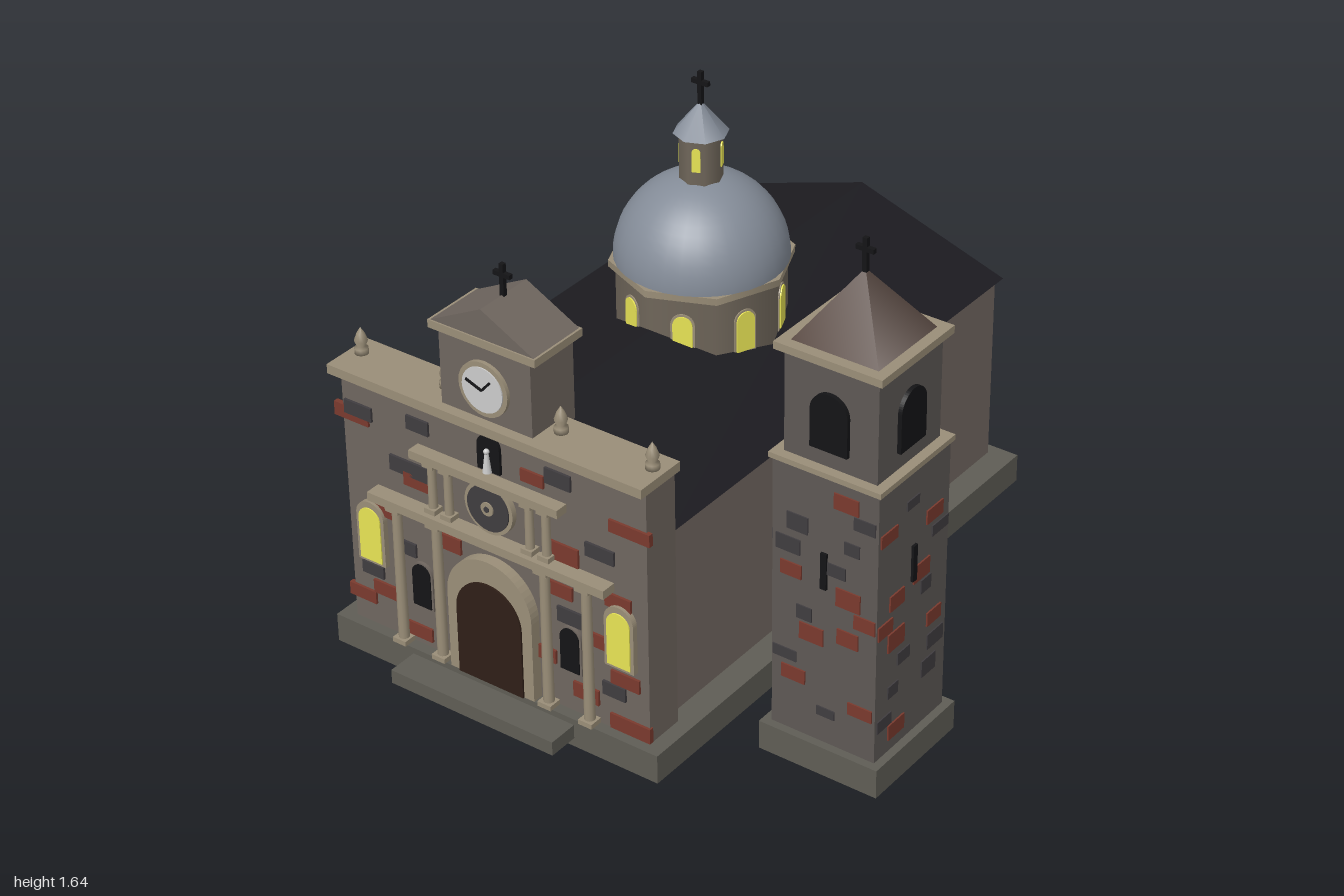
import * as THREE from 'three';

const COLORS = {
  stone: 0x6f665f, nave: 0x756a63, tower: 0x5e5855, trim: 0x9a8e78, plinth: 0x5f5d55,
  slate: 0x1c1b20, lead: 0x848c98, drum: 0x6f665a, tile: 0x5c4c45, black: 0x141416,
  door: 0x2f1f17, glow: 0xe8e455, white: 0xd0d0d0, red: 0x7a3a2e, dark: 0x403d40,
};
const mats = {};
for (const k in COLORS) mats[k] = new THREE.MeshStandardMaterial({ color: COLORS[k] });

function add(parent, name, geo, mat, x = 0, y = 0, z = 0) {
  const m = new THREE.Mesh(geo, mats[mat]);
  m.name = name;
  m.position.set(x, y, z);
  parent.add(m);
  return m;
}

function group(parent, name, x = 0, y = 0, z = 0) {
  const g = new THREE.Group();
  g.name = name;
  g.position.set(x, y, z);
  parent.add(g);
  return g;
}

// Box given by its limits on each axis
function block(parent, name, mat, [x0, x1], [y0, y1], [z0, z1]) {
  return add(parent, name, new THREE.BoxGeometry(x1 - x0, y1 - y0, z1 - z0), mat,
    (x0 + x1) / 2, (y0 + y1) / 2, (z0 + z1) / 2);
}

// Round-headed plate, foot at y = 0, facing +z
function archGeo(w, h, depth) {
  const r = w / 2, s = new THREE.Shape();
  s.moveTo(-r, 0);
  s.lineTo(r, 0);
  s.lineTo(r, h - r);
  s.absarc(0, h - r, r, 0, Math.PI, false);
  s.closePath();
  return new THREE.ExtrudeGeometry(s, { depth, bevelEnabled: false, curveSegments: 14 });
}

// Triangular prism running along z
function gableGeo(half, h, depth) {
  const s = new THREE.Shape([[-half, 0], [half, 0], [0, h]].map(p => new THREE.Vector2(...p)));
  return new THREE.ExtrudeGeometry(s, { depth, bevelEnabled: false });
}

function disc(parent, name, r, depth, mat, x, y, z) {
  add(parent, name, new THREE.CylinderGeometry(r, r, depth, 28), mat, x, y, z).rotation.x = Math.PI / 2;
}

function cross(parent, x, y, z) {
  const g = group(parent, 'cross', x, y, z);
  add(g, 'crossPost', new THREE.BoxGeometry(0.014, 0.11, 0.014), 'black', 0, 0.045);
  add(g, 'crossArm', new THREE.BoxGeometry(0.058, 0.014, 0.014), 'black', 0, 0.066);
}

function column(parent, x, y0, y1, r, z) {
  const g = group(parent, 'column', x, 0, z), h = y1 - y0;
  add(g, 'columnShaft', new THREE.CylinderGeometry(r * 0.9, r, h, 12), 'trim', 0, (y0 + y1) / 2);
  for (const y of [y0 + 0.008, y1 - 0.008])
    add(g, 'columnBlock', new THREE.BoxGeometry(r * 2.8, 0.016, r * 2.8), 'trim', 0, y);
}

// Bricks are rows of [x, y, width, height] on a wall facing +z
function bricks(parent, list, mat, z) {
  for (const [x, y, w, h] of list)
    add(parent, 'brick', new THREE.BoxGeometry(w, h, 0.016), mat, x, y, z);
}

function buildFacade(root) {
  const f = group(root, 'facade', -0.27);
  const Z = 0.865;
  block(f, 'facadeWall', 'stone', [-0.54, 0.54], [0.095, 0.945], [0.735, Z]);
  block(f, 'facadeCornice', 'trim', [-0.555, 0.555], [0.945, 0.975], [0.73, 0.905]);

  // Scattered brickwork
  bricks(f, [
    [-0.505, 0.81, 0.125, 0.045], [0.485, 0.79, 0.14, 0.04], [-0.505, 0.19, 0.1, 0.042],
    [0.475, 0.125, 0.14, 0.05], [-0.41, 0.52, 0.09, 0.045], [0.25, 0.63, 0.11, 0.06],
    [-0.27, 0.665, 0.1, 0.045], [0.23, 0.5, 0.1, 0.045], [0.44, 0.54, 0.09, 0.045],
    [-0.41, 0.235, 0.1, 0.045], [0.32, 0.18, 0.09, 0.05], [-0.16, 0.5, 0.08, 0.05],
    [-0.13, 0.3, 0.09, 0.045], [0.46, 0.28, 0.1, 0.045], [0.15, 0.84, 0.08, 0.04],
    [-0.29, 0.14, 0.09, 0.045], [0.18, 0.26, 0.07, 0.045], [0.36, 0.38, 0.08, 0.045],
  ], 'red', Z);
  bricks(f, [
    [-0.48, 0.83, 0.1, 0.045], [-0.29, 0.7, 0.16, 0.05], [0.24, 0.87, 0.09, 0.05],
    [-0.26, 0.86, 0.08, 0.045], [0.38, 0.68, 0.1, 0.045], [-0.33, 0.42, 0.08, 0.045],
    [0.27, 0.42, 0.09, 0.05], [-0.46, 0.29, 0.08, 0.04], [0.42, 0.23, 0.08, 0.045],
  ], 'dark', Z);

  // Portal
  add(f, 'portalSurround', archGeo(0.306, 0.42, 0.035), 'trim', 0, 0.095, Z);
  add(f, 'door', archGeo(0.234, 0.345, 0.008), 'door', 0, 0.095, Z + 0.033);

  // Side windows, niches, columns and finials in mirrored pairs
  for (const s of [-1, 1]) {
    add(f, 'windowFrame', archGeo(0.102, 0.21, 0.018), 'trim', s * 0.45, 0.325, Z);
    add(f, 'windowGlass', archGeo(0.08, 0.18, 0.006), 'glow', s * 0.45, 0.335, Z + 0.016);
    add(f, 'nicheFrame', archGeo(0.08, 0.155, 0.01), 'stone', s * 0.27, 0.235, Z);
    add(f, 'niche', archGeo(0.066, 0.145, 0.006), 'black', s * 0.27, 0.24, Z + 0.008);
    for (const x of [0.195, 0.342]) column(f, s * x, 0.095, 0.57, 0.017, 0.885);
    for (const x of [0.145, 0.204]) column(f, s * x, 0.6, 0.77, 0.014, 0.882);
    for (const x of [0.203, 0.515]) {
      const prof = [[0, 0], [0.021, 0], [0.021, 0.018], [0.013, 0.024], [0.02, 0.042], [0.012, 0.065], [0, 0.085]];
      add(f, 'finial', new THREE.LatheGeometry(prof.map(p => new THREE.Vector2(...p)), 12), 'trim', s * x, 0.975, 0.8);
    }
  }
  block(f, 'lowerEntablature', 'trim', [-0.425, 0.425], [0.57, 0.598], [Z, 0.915]);
  block(f, 'upperEntablature', 'trim', [-0.265, 0.265], [0.77, 0.797], [Z, 0.908]);

  // Rose window
  disc(f, 'roseFrame', 0.086, 0.024, 'trim', 0, 0.69, Z + 0.006);
  disc(f, 'roseGlass', 0.074, 0.024, 'dark', 0, 0.69, Z + 0.01);
  disc(f, 'roseHub', 0.022, 0.024, 'trim', 0, 0.69, Z + 0.014);
  disc(f, 'roseCentre', 0.009, 0.024, 'dark', 0, 0.69, Z + 0.017);

  // Statue niche
  add(f, 'statueNiche', archGeo(0.08, 0.118, 0.01), 'black', 0, 0.808, Z);
  add(f, 'statueBody', new THREE.CylinderGeometry(0.006, 0.014, 0.06, 10), 'white', 0, 0.84, Z + 0.016);
  add(f, 'statueHead', new THREE.SphereGeometry(0.009, 10, 8), 'white', 0, 0.877, Z + 0.016);

  // Clock turret
  const c = group(f, 'clockTurret');
  block(c, 'clockBlock', 'stone', [-0.16, 0.16], [0.945, 1.217], [0.685, 0.872]);
  block(c, 'clockCornice', 'trim', [-0.187, 0.187], [1.215, 1.24], [0.675, 0.885]);
  add(c, 'clockGable', gableGeo(0.18, 0.093, 0.2), 'stone', 0, 1.24, 0.68);
  disc(c, 'clockRim', 0.086, 0.02, 'trim', 0, 1.08, 0.874);
  disc(c, 'clockFace', 0.071, 0.02, 'white', 0, 1.08, 0.878);
  for (const [dx, dy] of [[-0.055, 0.02], [0.03, 0.034]]) {
    const hand = new THREE.BoxGeometry(Math.hypot(dx, dy), 0.007, 0.005);
    add(c, 'clockHand', hand, 'black', dx / 2, 1.08 + dy / 2, 0.89).rotation.z = Math.atan2(dy, dx);
  }
  cross(c, 0, 1.33, 0.78);
}

function buildDome(root) {
  const d = group(root, 'dome', -0.27, 0, -0.13);
  add(d, 'drum', new THREE.CylinderGeometry(0.257, 0.257, 0.32, 8), 'drum', 0, 0.86);
  add(d, 'drumCornice', new THREE.CylinderGeometry(0.278, 0.278, 0.022, 8), 'trim', 0, 1.031);
  add(d, 'domeShell', new THREE.SphereGeometry(0.262, 32, 14, 0, Math.PI * 2, 0, Math.PI / 2), 'lead', 0, 1.042);
  add(d, 'lantern', new THREE.CylinderGeometry(0.065, 0.065, 0.17, 8), 'drum', 0, 1.36);
  add(d, 'lanternRoof', new THREE.ConeGeometry(0.083, 0.1, 8), 'lead', 0, 1.492);
  cross(d, 0, 1.535, 0);
  for (let i = 0; i < 8; i++) {
    const turn = group(d, 'windowBay');
    turn.rotation.y = (i + 0.5) * Math.PI / 4;
    add(turn, 'drumWindowFrame', archGeo(0.074, 0.145, 0.006), 'trim', 0, 0.822, 0.235);
    add(turn, 'drumWindow', archGeo(0.06, 0.13, 0.01), 'glow', 0, 0.83, 0.235);
    if (i % 2 === 0) add(turn, 'lanternWindow', archGeo(0.026, 0.075, 0.008), 'glow', 0, 1.34, 0.056);
  }
}

function buildTower(root) {
  const t = group(root, 'bellTower', 0.655, 0, 0.4);
  const slab = (name, mat, h, y0, y1) => block(t, name, mat, [-h, h], [y0, y1], [-h, h]);
  slab('towerPlinth', 'plinth', 0.2, 0, 0.095);
  slab('towerShaft', 'tower', 0.174, 0.095, 0.985);
  slab('towerLedge', 'trim', 0.183, 0.983, 1.0);
  slab('belfry', 'tower', 0.152, 1.0, 1.325);
  slab('belfryCornice', 'trim', 0.174, 1.323, 1.347);
  const roof = new THREE.ConeGeometry(0.14 * Math.SQRT2, 0.2, 4);
  add(t, 'towerRoof', roof.rotateY(Math.PI / 4), 'tile', 0, 1.447);
  cross(t, 0, 1.54, 0);

  const red = [
    [0.07, 0.92, 0.08, 0.05], [0.08, 0.61, 0.08, 0.06], [0.135, 0.55, 0.07, 0.045], [-0.04, 0.45, 0.08, 0.055],
    [0.08, 0.48, 0.07, 0.05], [-0.11, 0.64, 0.07, 0.045], [0.125, 0.25, 0.08, 0.04], [-0.1, 0.29, 0.08, 0.045],
  ];
  const dark = [
    [-0.09, 0.8, 0.07, 0.055], [-0.065, 0.51, 0.05, 0.045], [-0.13, 0.35, 0.08, 0.035], [0.01, 0.2, 0.06, 0.03],
    [0.09, 0.78, 0.05, 0.04], [0.13, 0.87, 0.07, 0.04], [-0.12, 0.72, 0.08, 0.05], [0.04, 0.69, 0.06, 0.04],
  ];
  // Four sides; brick pattern is flipped on alternate sides
  for (let i = 0; i < 4; i++) {
    const side = group(t, 'towerSide');
    side.rotation.y = i * Math.PI / 2;
    const flip = list => list.map(([x, y, w, h]) => [i % 2 ? -x : x, i % 2 ? 1.08 - y : y, w, h]);
    bricks(side, flip(red), 'red', 0.171);
    bricks(side, flip(dark), 'dark', 0.17);
    add(side, 'slit', new THREE.BoxGeometry(0.02, 0.118, 0.02), 'black', 0, 0.677, 0.172);
    add(side, 'belfryOpening', archGeo(0.122, 0.18, 0.02), 'black', 0, 1.055, 0.145);
  }
}

export function createModel() {
  const root = new THREE.Group();
  root.name = 'church';

  // Plinth, step, nave and its roof
  block(root, 'plinth', 'plinth', [-0.86, 0.32], [0, 0.095], [-1, 0.9]);
  block(root, 'frontStep', 'plinth', [-0.567, 0.025], [0.029, 0.075], [0.88, 1]);
  block(root, 'nave', 'nave', [-0.775, 0.235], [0.095, 0.73], [-0.96, 0.74]);
  add(root, 'naveRoof', gableGeo(0.525, 0.17, 1.715), 'slate', -0.27, 0.73, -0.975);

  buildFacade(root);
  buildDome(root);
  buildTower(root);
  return root;
}
